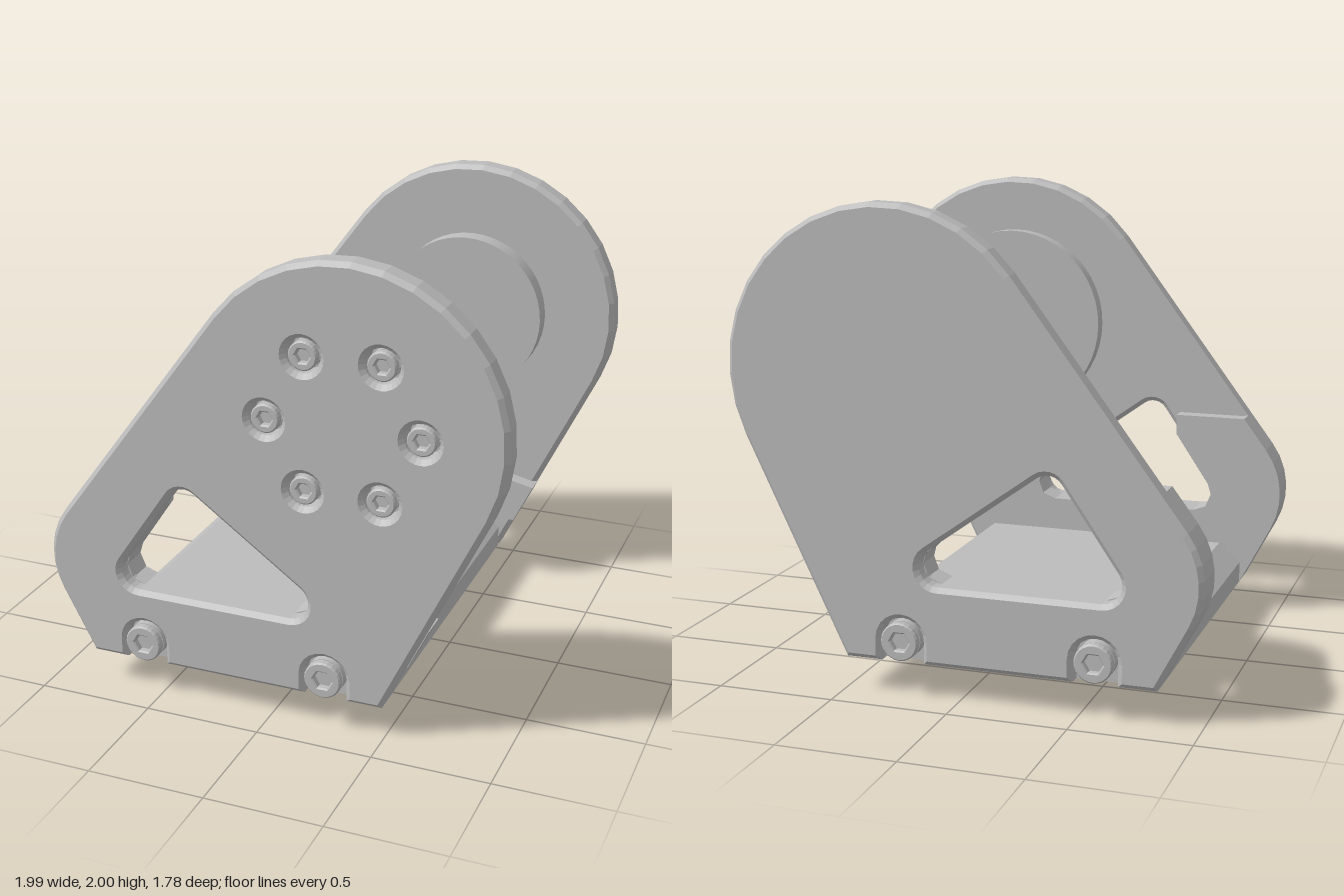
import * as THREE from 'three';

const metal = new THREE.MeshStandardMaterial({ color: 0xbcbcbc });
metal.name = 'grey metal';

const V = (x, y) => new THREE.Vector2(x, y);

// Counter-clockwise outline wrapped around circles [x, y, r]; r = 0 is a sharp corner
function wrap(circles, step) {
  const n = circles.length;
  const normals = circles.map(([x, y, r], i) => {
    const [x2, y2, r2] = circles[(i + 1) % n];
    return Math.atan2(y2 - y, x2 - x) - Math.acos((r - r2) / Math.hypot(x2 - x, y2 - y));
  });
  const pts = [];
  circles.forEach(([x, y, r], i) => {
    if (!r) return pts.push(V(x, y));
    const a = normals[(i + n - 1) % n];
    const sweep = (((normals[i] - a) % (2 * Math.PI)) + 2 * Math.PI) % (2 * Math.PI);
    const k = Math.ceil(sweep / step);
    for (let j = 0; j <= k; j++) {
      const t = a + (sweep * j) / k;
      pts.push(V(x + r * Math.cos(t), y + r * Math.sin(t)));
    }
  });
  return pts;
}

const ring = (x, y, r, n) =>
  Array.from({ length: n }, (_, i) => V(x + r * Math.cos((i * 2 * Math.PI) / n), y + r * Math.sin((i * 2 * Math.PI) / n)));

function add(parent, name, geometry) {
  const m = new THREE.Mesh(geometry, metal);
  m.name = name;
  parent.add(m);
  return m;
}

// Extruded slab between two z levels, with an optional chamfer on both faces
function slab(points, holes, za, zb, bevel = 0) {
  const shape = new THREE.Shape(points);
  shape.holes = holes.map((h) => new THREE.Path(h));
  const g = new THREE.ExtrudeGeometry(shape, {
    depth: Math.abs(zb - za) - 2 * bevel, bevelEnabled: bevel > 0,
    bevelSize: bevel, bevelThickness: bevel, bevelOffset: -bevel, bevelSegments: 1,
  });
  return g.translate(0, 0, Math.min(za, zb) + bevel);
}

function disc(x, y, r, za, zb, n = 48) {
  return new THREE.CylinderGeometry(r, r, Math.abs(zb - za), n).rotateX(Math.PI / 2).translate(x, y, (za + zb) / 2);
}

// Cap screw facing +z with its top at z = 0 and a hexagonal socket
function screw(name, r, height) {
  const g = new THREE.Group();
  g.name = name;
  const socket = 0.035;
  add(g, 'screwBody', disc(0, 0, r, -height, -socket, 24));
  add(g, 'screwHead', slab(ring(0, 0, r, 24), [ring(0, 0, r * 0.52, 6)], -socket - 0.001, 0, 0.006));
  return g;
}

export function createModel() {
  const model = new THREE.Group();
  model.name = 'bracket';

  const footScrews = [-0.57, 0.245];
  const pivot = V(0.32, 1.33);

  // Side plate outline, with arched notches in the lower edge
  const outer = wrap([[pivot.x, pivot.y, 0.67], [-0.65, 0.57, 0.35], [-0.82, 0.14, 0], [0.49, 0.14, 0]], 0.2);
  const notches = footScrews.flatMap((x) => {
    const arch = [V(x - 0.092, 0.14)];
    for (let i = 0; i <= 10; i++) {
      const t = Math.PI * (1 - i / 10);
      arch.push(V(x + 0.092 * Math.cos(t), 0.235 + 0.092 * Math.sin(t)));
    }
    return [...arch, V(x + 0.092, 0.14)];
  });
  const outline = [...outer.slice(0, -1), ...notches, outer[outer.length - 1]];
  const window3 = wrap([[-0.37, 0.895, 0.07], [-0.595, 0.55, 0.08], [0.09, 0.55, 0.08]], 0.3);
  const screwSpots = ring(pivot.x, pivot.y, 0.322, 6);

  // Thickened foot on the inside of each plate, cut along the window
  const pad = [
    ...outer.filter((p) => p.x < -0.9),
    V(-0.82, 0.14), V(-0.75, 0.14), V(-0.75, 0.32), V(0.58, 0.32), V(0.668, 0.5), V(0.13, 0.62),
    V(0.16, 0.59), V(0.17, 0.55), V(0.15, 0.495), V(0.09, 0.47), V(-0.595, 0.47), V(-0.65, 0.49),
    V(-0.675, 0.55), V(-0.66, 0.6), V(-0.505, 0.83), V(-0.505, 0.92), V(-0.825, 0.92),
  ];

  for (const s of [1, -1]) {
    const side = new THREE.Group();
    side.name = s > 0 ? 'frontSide' : 'backSide';
    model.add(side);
    const holes = s > 0 ? [window3, ...screwSpots.map((p) => ring(p.x, p.y, 0.072, 24))] : [window3];
    add(side, 'sidePlate', slab(outline, holes, s * 0.755, s * 0.87, 0.02));
    add(side, 'innerFoot', slab(pad, [], s * 0.685, s * 0.8));
    add(side, 'pivotDisc', s > 0
      ? disc(0.31, 1.325, 0.43, 0.685, 0.78)
      : disc(0.315, 1.328, 0.357, -0.67, -0.78));

    // Screws through the lower edge, seated in the notches
    for (const x of footScrews) {
      add(side, 'notchFloor', new THREE.BoxGeometry(0.2, 0.2, 0.05).translate(x, 0.24, s * 0.78));
      const b = screw('footScrew', 0.08, 0.1);
      b.position.set(x, 0.235, s * 0.892);
      if (s < 0) b.rotation.y = Math.PI;
      side.add(b);
    }
  }

  // Ring of flush screws on the front plate
  for (const p of screwSpots) {
    const b = screw('plateScrew', 0.06, 0.09);
    b.position.set(p.x, p.y, 0.862);
    model.add(b);
  }

  // Floor with sloped long edges, and the round mount below it
  const floor = [V(-0.82, 0.14), V(0.49, 0.14), V(0.49, 0.235), V(0.4, 0.32), V(-0.72, 0.32), V(-0.82, 0.235)];
  add(model, 'floor', slab(floor, [], -0.76, 0.76));
  add(model, 'baseMount', new THREE.CylinderGeometry(0.417, 0.417, 0.15, 48).translate(-0.16, 0.075, 0));

  return model;
}
